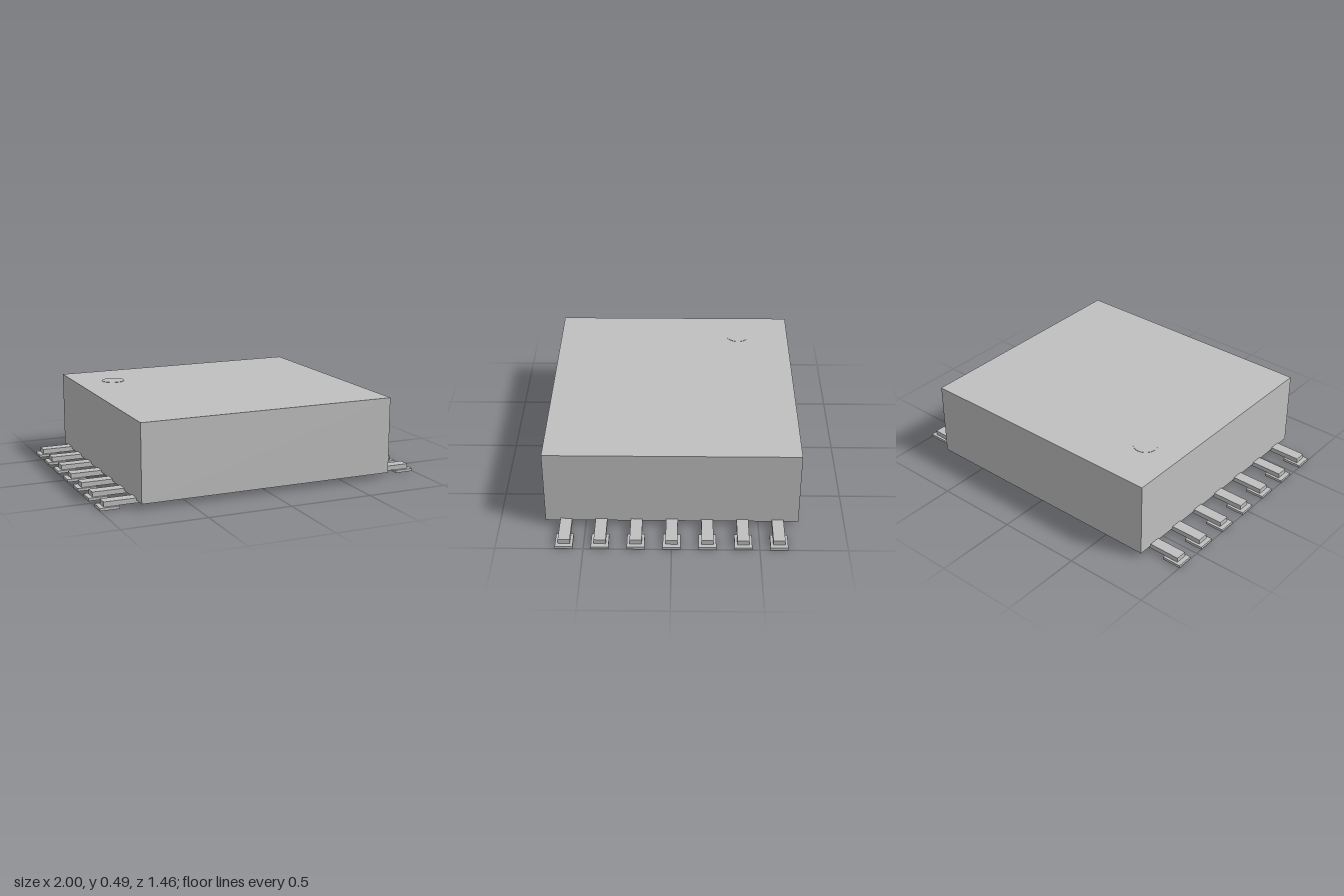
import * as THREE from 'three';

export function createModel() {
  const model = new THREE.Group();
  model.name = 'chipPackage';
  const grey = new THREE.MeshStandardMaterial({ color: 0xc0c0c0 });
  grey.name = 'plain grey';

  // Box given by its minimum and maximum corners
  const box = (name, [x0, y0, z0], [x1, y1, z1], parent) => {
    const mesh = new THREE.Mesh(new THREE.BoxGeometry(x1 - x0, y1 - y0, z1 - z0), grey);
    mesh.position.set((x0 + x1) / 2, (y0 + y1) / 2, (z0 + z1) / 2);
    mesh.name = name;
    parent.add(mesh);
  };

  // Main body
  box('body', [-0.783, 0.033, -0.731], [0.783, 0.492, 0.731], model);

  // Seven pins along each side: a lead resting on a wider solder pad
  for (const side of [1, -1]) {
    for (let i = 0; i < 7; i++) {
      const pin = new THREE.Group();
      pin.name = side > 0 ? 'leftPin' : 'rightPin';
      pin.position.z = (i - 3) * 0.2035;
      pin.rotation.y = side > 0 ? 0 : Math.PI;
      box('lead', [0.745, 0.016, -0.034], [0.973, 0.045, 0.034], pin);
      box('pad', [0.885, 0, -0.05], [1, 0.016, 0.05], pin);
      model.add(pin);
    }
  }

  // Orientation dot on the top corner
  const dot = new THREE.Mesh(new THREE.CylinderGeometry(0.07, 0.07, 0.004, 32), grey);
  dot.name = 'orientationDot';
  dot.position.set(-0.55, 0.492, -0.41);
  model.add(dot);

  return model;
}
